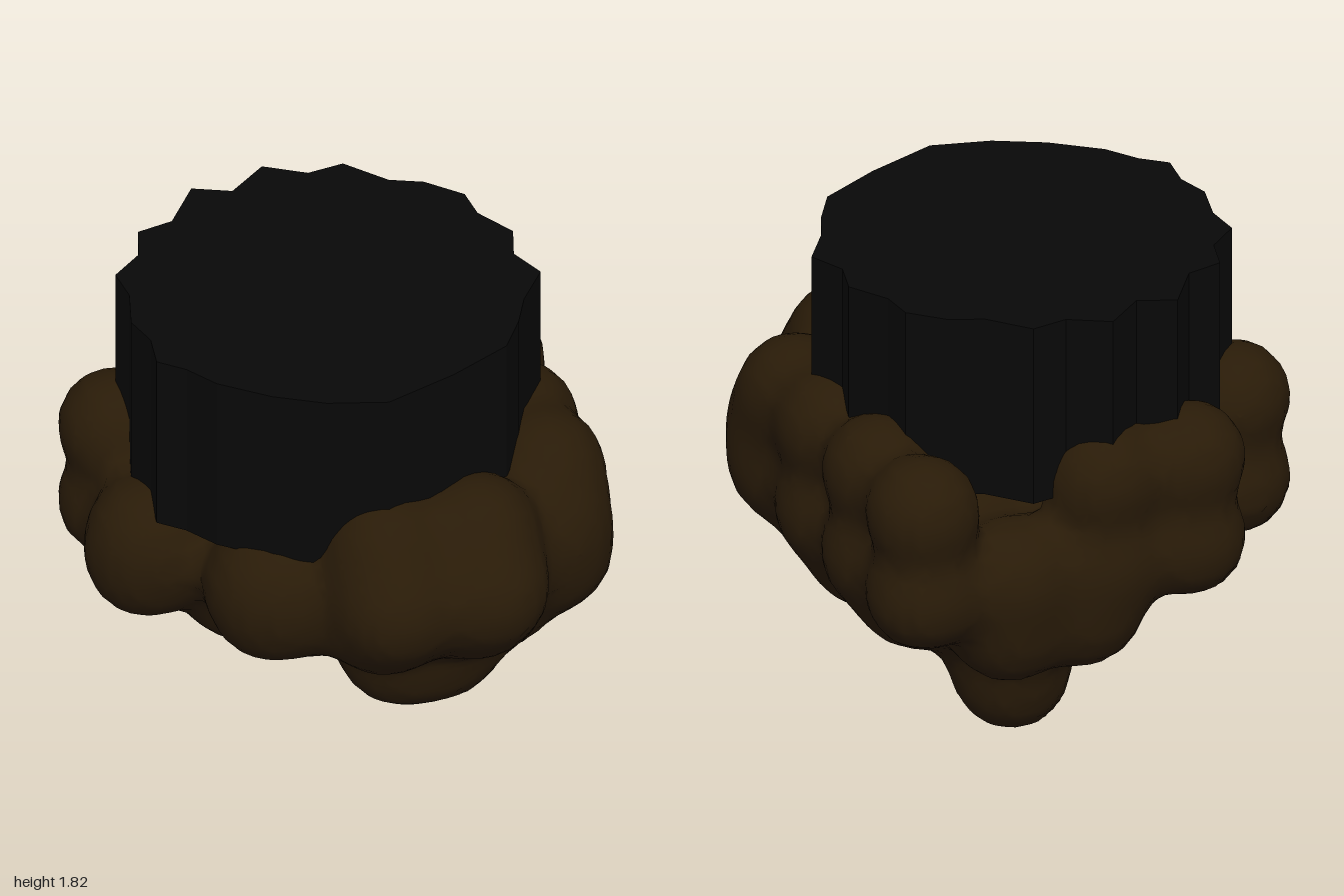
import * as THREE from 'three';

const earth = new THREE.MeshStandardMaterial({ color: 0x291b08 });
earth.name = 'dark brown earth';
const black = new THREE.MeshStandardMaterial({ color: 0x080808 });
black.name = 'matt black';

// Lump layout: each layer has rows from back to front, columns from -x to +x.
const COLS = [-0.72, -0.36, 0, 0.36, 0.72];
const ROWS = [-0.78, -0.4, 0, 0.4];
const LAYERS = [
  [1.14, ['.##.#', '#...#', '....#', '.....']], // rim
  [0.8, ['.####', '#####', '#####', '.####']], // body
];

function lumpCentres() {
  const lumps = [];
  for (const [y, rows] of LAYERS) {
    rows.forEach((row, r) => [...row].forEach((c, i) => {
      if (c === '#') lumps.push([COLS[i], y, ROWS[r]]);
    }));
  }
  // front bulge
  for (const x of [0, 0.36]) {
    lumps.push([x, 0.96, 0.78], [x, 1.14, 0.64], [x, 0.82, 0.64]);
  }
  // underside
  lumps.push(
    [0.12, 0.5, 0.4], [0.3, 0.5, 0.4], [0.2, 0.5, -0.02], [0.02, 0.55, -0.3],
    [0.36, 0.52, -0.3], [0.4, 0.54, 0.1], [0.05, 0.58, -0.74], [0.36, 0.58, -0.74],
    [-0.36, 0.61, -0.02], [-0.3, 0.68, -0.4], [-0.1, 0.56, 0.05],
    [0.58, 0.61, -0.4], [0.58, 0.6, 0], [0.55, 0.62, 0.3],
  );
  // bottom tip
  lumps.push([0.2, 0.205, -0.43], [0.2, 0.4, -0.43]);
  // side shoulders
  lumps.push(
    [0.72, 1.14, 0.32], [0.7, 0.97, 0.43],
    [-0.72, 0.94, 0.03], [-0.38, 0.93, 0.43], [-0.2, 0.88, 0.42],
  );
  return lumps;
}

// Smoothly merged spheres, meshed with one vertex per crossed grid cell.
function blobGeometry(centres, radius, k, step) {
  const min = [-1.15, -0.15, -1.15];
  const n = [2.3, 1.7, 2.3].map((s) => Math.round(s / step) + 1);
  const stride = [1, n[0], n[0] * n[1]];
  const total = n[0] * n[1] * n[2];
  const field = new Float32Array(total);
  const coords = (id) => [id % n[0], Math.floor(id / n[0]) % n[1], Math.floor(id / stride[2])];

  for (let id = 0; id < total; id++) {
    const [x, y, z] = coords(id).map((c, a) => min[a] + c * step);
    let sum = 1e-30;
    for (const [cx, cy, cz] of centres) {
      sum += Math.exp(-k * (Math.hypot(x - cx, y - cy, z - cz) - radius));
    }
    field[id] = -Math.log(sum) / k;
  }

  // vertices: mean of the edge crossings in each cell
  const vertexOf = new Int32Array(total).fill(-1);
  const positions = [];
  for (let id = 0; id < total; id++) {
    const cell = coords(id);
    if (cell.some((c, a) => c >= n[a] - 1)) continue;
    const mean = [0, 0, 0];
    let count = 0;
    for (let corner = 0; corner < 8; corner++) {
      for (let a = 0; a < 3; a++) {
        if (corner & (1 << a)) continue;
        const bits = [corner & 1, (corner >> 1) & 1, (corner >> 2) & 1];
        const start = id + bits[0] * stride[0] + bits[1] * stride[1] + bits[2] * stride[2];
        const f0 = field[start];
        const f1 = field[start + stride[a]];
        if ((f0 < 0) === (f1 < 0)) continue;
        bits[a] = f0 / (f0 - f1);
        bits.forEach((b, i) => { mean[i] += b; });
        count++;
      }
    }
    if (!count) continue;
    vertexOf[id] = positions.length / 3;
    positions.push(...mean.map((m, a) => min[a] + (cell[a] + m / count) * step));
  }

  // faces: one quad around every crossed grid edge
  const index = [];
  for (let id = 0; id < total; id++) {
    const cell = coords(id);
    if (cell.some((c, a) => c < 1 || c >= n[a] - 1)) continue;
    for (let a = 0; a < 3; a++) {
      const inside = field[id] < 0;
      if (inside === (field[id + stride[a]] < 0)) continue;
      const u = stride[(a + 1) % 3];
      const v = stride[(a + 2) % 3];
      const q = [id - u - v, id - v, id, id - u].map((c) => vertexOf[c]);
      if (!inside) q.reverse();
      index.push(q[0], q[1], q[2], q[0], q[2], q[3]);
    }
  }

  const geometry = new THREE.BufferGeometry();
  geometry.setAttribute('position', new THREE.Float32BufferAttribute(positions, 3));
  geometry.setIndex(index);
  geometry.computeVertexNormals();
  return geometry;
}

// Uneven fluted outline as x, z pairs
const OUTLINE = [
  [0, -0.89], [0.15, -0.8], [0.29, -0.82], [0.42, -0.67], [0.54, -0.62], [0.66, -0.5],
  [0.67, -0.37], [0.76, -0.22], [0.72, -0.08], [0.78, 0.06], [0.67, 0.21], [0.61, 0.34],
  [0.52, 0.48], [0.28, 0.6], [0, 0.7], [-0.22, 0.64], [-0.4, 0.54], [-0.57, 0.4],
  [-0.65, 0.28], [-0.74, 0.2], [-0.72, 0.06], [-0.755, -0.07], [-0.71, -0.24],
  [-0.72, -0.38], [-0.6, -0.48], [-0.56, -0.62], [-0.42, -0.65], [-0.29, -0.83], [-0.15, -0.77],
];

export function createModel() {
  const model = new THREE.Group();
  model.name = 'flutedBlockOnEarth';

  const mound = new THREE.Mesh(blobGeometry(lumpCentres(), 0.205, 18, 0.05), earth);
  mound.name = 'lumpyEarthBase';
  model.add(mound);

  // upright block with jagged sides
  const shape = new THREE.Shape(OUTLINE.map(([x, z]) => new THREE.Vector2(x, -z)));
  const block = new THREE.ExtrudeGeometry(shape, { depth: 0.72, bevelEnabled: false });
  block.rotateX(-Math.PI / 2);
  const column = new THREE.Mesh(block, black);
  column.name = 'flutedBlock';
  column.position.y = 1.095;
  model.add(column);

  return model;
}
